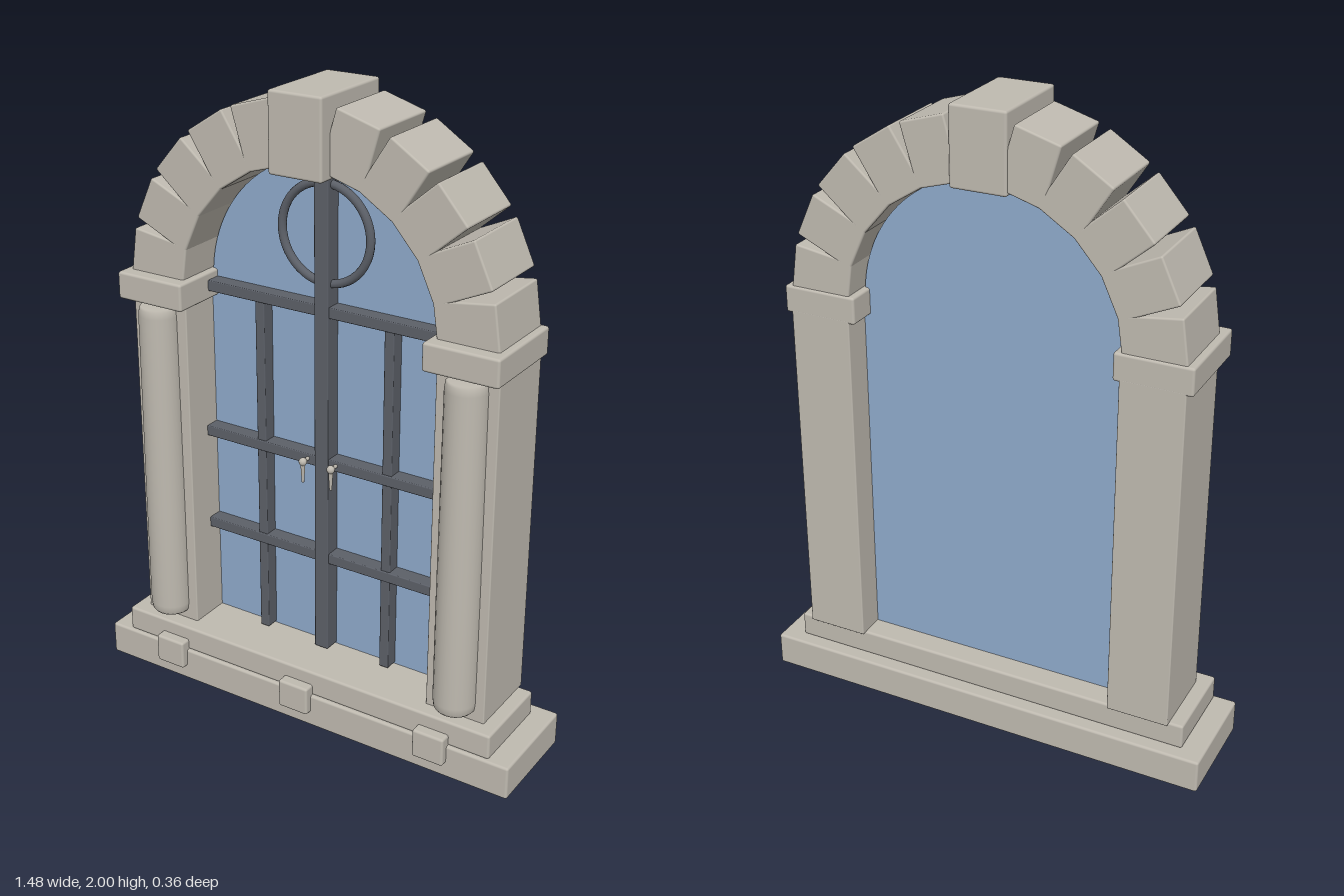
import * as THREE from 'three';
import { RoundedBoxGeometry } from 'three/addons/geometries/RoundedBoxGeometry.js';

export function createModel() {
  const model = new THREE.Group();
  model.name = 'archedWindow';

  const makeMaterial = (name, color) => {
    const m = new THREE.MeshStandardMaterial({ color });
    m.name = name;
    return m;
  };
  const stone = makeMaterial('stone', 0xbfbab0);
  const iron = makeMaterial('iron', 0x5c6068);
  const glass = makeMaterial('glass', 0x8faacb);

  const add = (name, geometry, material, x = 0, y = 0, z = 0) => {
    const mesh = new THREE.Mesh(geometry, material);
    mesh.name = name;
    mesh.position.set(x, y, z);
    model.add(mesh);
    return mesh;
  };
  // Block given by its lower and upper limits on each axis
  const block = (name, [x0, x1], [y0, y1], [z0, z1], material = stone, r = 0.008) =>
    add(name, new RoundedBoxGeometry(x1 - x0, y1 - y0, z1 - z0, 2, r), material,
      (x0 + x1) / 2, (y0 + y1) / 2, (z0 + z1) / 2);

  // Stepped sill with three small front blocks
  block('lowerSill', [-0.742, 0.742], [0, 0.11], [-0.183, 0.157]);
  block('upperSill', [-0.672, 0.672], [0.108, 0.19], [-0.138, 0.146]);
  for (const x of [-0.484, 0, 0.484]) {
    block('sillBlock', [x - 0.053, x + 0.053], [0.05, 0.145], [0.08, 0.181]);
  }

  // Jambs, attached columns and capitals
  const column = new THREE.LatheGeometry([
    [0, 0.218], [0.058, 0.218], [0.064, 0.226], [0.067, 0.25], [0.067, 0.6],
    [0.064, 1.25], [0.061, 1.272], [0.056, 1.278], [0, 1.278],
  ].map(([r, y]) => new THREE.Vector2(r, y)), 24);
  for (const s of [1, -1]) {
    const side = s > 0 ? 'left' : 'right';
    const span = (a, b) => (s > 0 ? [a, b] : [-b, -a]);
    block(side + 'Jamb', span(0.43, 0.627), [0.187, 1.3], [-0.153, 0.097], stone, 0.004);
    block(side + 'Capital', span(0.41, 0.647), [1.29, 1.376], [-0.153, 0.147]);
    add(side + 'Column', column, stone, s * 0.53, 0, 0.1);
  }

  // Arch stones: eleven equal steps, the middle one being the keystone
  const centreY = 1.35;
  const archStone = new RoundedBoxGeometry(0.192, 0.144, 0.25, 2, 0.006);
  for (let i = 0; i < 11; i++) {
    if (i === 5) continue;
    const a = (i + 0.5) * Math.PI / 11;
    add('archStone', archStone, stone,
      0.526 * Math.cos(a), centreY + 0.526 * Math.sin(a), -0.021).rotation.z = a;
  }
  block('keystone', [-0.088, 0.088], [1.763, 2], [-0.153, 0.147]);

  // Glass pane with a round head
  const pane = new THREE.Shape();
  pane.moveTo(-0.43, 0.185);
  pane.lineTo(0.43, 0.185);
  pane.lineTo(0.43, centreY);
  pane.absellipse(0, centreY, 0.425, 0.428, 0, Math.PI, false);
  pane.lineTo(-0.43, centreY);
  pane.closePath();
  add('glassPane', new THREE.ExtrudeGeometry(pane,
    { depth: 0.02, bevelEnabled: false, curveSegments: 32 }), glass, 0, 0, -0.06);

  // Iron glazing bars
  const bar = (name, xs, ys, front) => block(name, xs, ys, [-0.042, front], iron, 0.003);
  bar('centreBar', [-0.024, 0.024], [0.195, 1.775], 0.014);
  for (const x of [-0.225, 0.225]) {
    bar('uprightBar', [x - 0.016, x + 0.016], [0.195, 1.33], 0.004);
  }
  for (const y of [0.521, 0.847, 1.335]) {
    bar('crossBar', [-0.432, 0.432], [y - 0.017, y + 0.017], 0.009);
  }
  add('ring', new THREE.TorusGeometry(0.15, 0.013, 10, 48), iron, 0, 1.567, -0.012);

  // Small hanging handles beside the centre bar
  for (const x of [-0.05, 0.05]) {
    add('handleStem', new THREE.CylinderGeometry(0.006, 0.006, 0.04, 10), stone, x, 0.85, 0.02)
      .rotation.x = Math.PI / 2;
    add('handleKnob', new THREE.SphereGeometry(0.013, 12, 8), stone, x, 0.85, 0.038);
    add('handleDrop', new THREE.CylinderGeometry(0.008, 0.004, 0.065, 10), stone, x, 0.814, 0.038);
  }

  return model;
}
